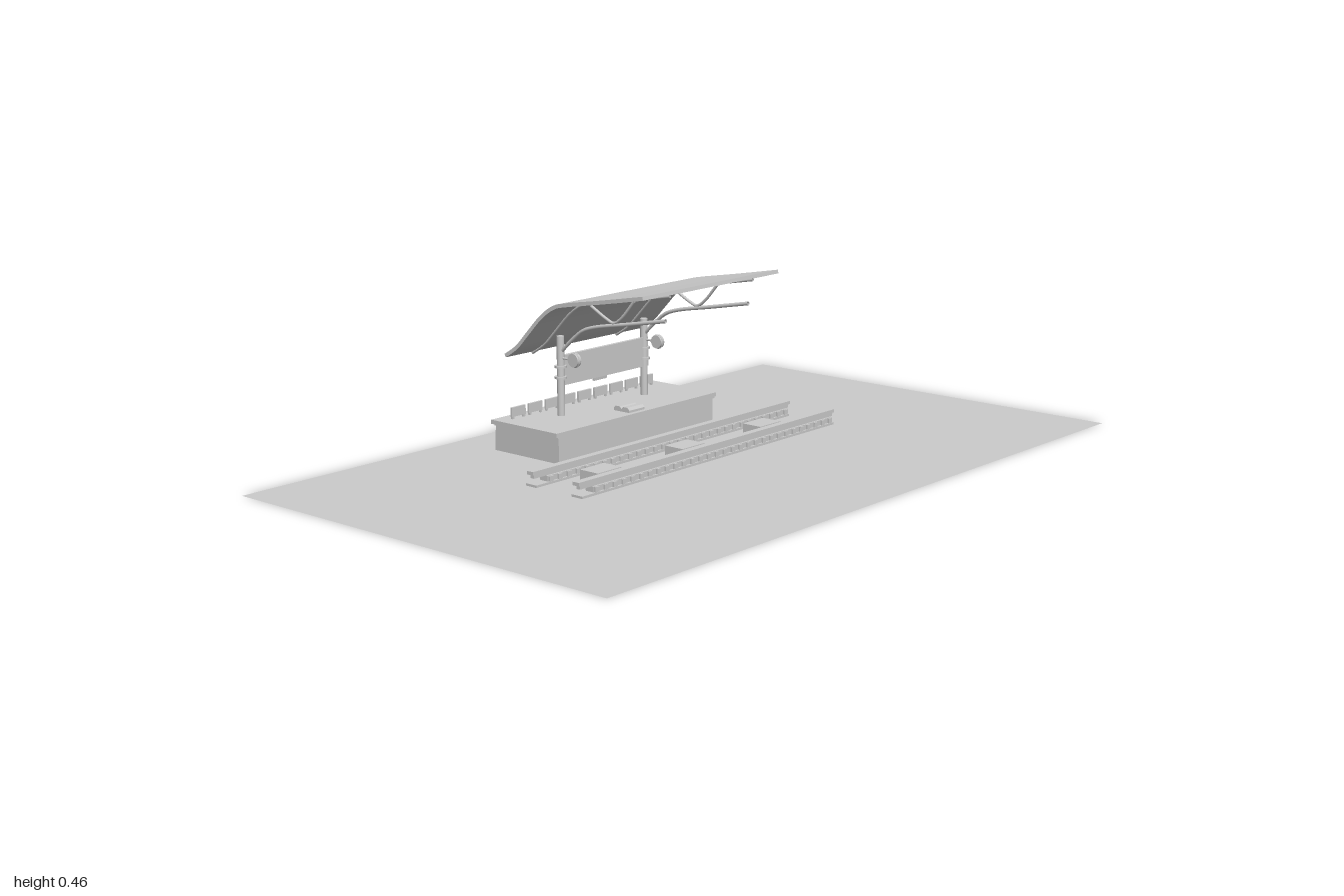
import * as THREE from 'three';
import { toCreasedNormals } from 'three/addons/utils/BufferGeometryUtils.js';

export function createModel() {
  const root = new THREE.Group();
  root.name = 'trainStop';
  const mat = new THREE.MeshStandardMaterial({ color: 0xcccccc, side: THREE.DoubleSide });

  const add = (name, geo, x = 0, y = 0, z = 0) => {
    const m = new THREE.Mesh(geo, mat);
    m.name = name;
    m.position.set(x, y, z);
    root.add(m);
    return m;
  };
  // Box given by its limits on each axis
  const box = (name, x0, x1, y0, y1, z0, z1) =>
    add(name, new THREE.BoxGeometry(x1 - x0, y1 - y0, z1 - z0), (x0 + x1) / 2, (y0 + y1) / 2, (z0 + z1) / 2);
  // Closed (z, y) outline swept along x
  const sweep = (name, outline, x0, x1, crease = 0.5) => {
    const shape = new THREE.Shape(outline.map(([z, y]) => new THREE.Vector2(z, y)));
    const geo = new THREE.ExtrudeGeometry(shape, { depth: x1 - x0, bevelEnabled: false });
    geo.rotateY(-Math.PI / 2);
    return add(name, toCreasedNormals(geo, crease), x1);
  };
  // Round bar through (z, y) points at a given x
  const bar = (name, x, pts, r) => {
    const curve = new THREE.CatmullRomCurve3(pts.map(([z, y]) => new THREE.Vector3(x, y, z)), false, 'centripetal');
    add(name, new THREE.TubeGeometry(curve, 24, r, 8), 0, 0, 0);
  };

  // Ground sheet
  add('ground', new THREE.PlaneGeometry(2, 1.2).rotateX(-Math.PI / 2));

  // Rails: footing, web, head and a row of clips
  for (const z of [0.041, -0.113]) {
    box('railFoot', -0.505, 0.49, 0.006, 0.012, z - 0.018, z + 0.018);
    box('railBase', -0.46, 0.49, 0.012, 0.026, z - 0.012, z + 0.012);
    box('railWeb', -0.5, 0.5, 0.026, 0.036, z - 0.006, z + 0.006);
    box('railHead', -0.508, 0.503, 0.036, 0.045, z - 0.01, z + 0.01);
    for (let i = 0; i < 30; i++) {
      const x = -0.45 + i * 0.032;
      box('railClip', x - 0.007, x + 0.007, 0.012, 0.025, z - 0.017, z + 0.017);
    }
  }
  // Blocks between the rails
  for (const x of [-0.345, -0.029, 0.287]) box('trackBlock', x - 0.043, x + 0.043, 0.008, 0.035, -0.06, 0);

  // Platform
  sweep('platformBody', [[-0.213, 0.005], [-0.213, 0.075], [-0.438, 0.075], [-0.443, 0.05], [-0.443, 0.005]], -0.305, 0.3, 0.1);
  box('platformLip', -0.31, 0.305, 0.072, 0.078, -0.441, -0.211);
  box('platformTop', -0.317, 0.308, 0.077, 0.088, -0.445, -0.208);

  // Double seat pad at the platform edge
  for (const z of [-0.236, -0.263]) {
    sweep('seatPad', [[z + 0.014, 0.088], [z + 0.014, 0.094], [z + 0.008, 0.101],
      [z - 0.008, 0.101], [z - 0.014, 0.094], [z - 0.014, 0.088]], -0.03, 0.03);
  }

  // Low fence of separate panels along the back
  for (let i = 0; i < 9; i++) {
    const x = -0.255 + i * 0.0625;
    box('fencePanel', x - 0.025, x + 0.025, 0.094, 0.119, -0.411, -0.405);
    for (const s of [-1, 1]) box('fenceLeg', x + s * 0.02 - 0.003, x + s * 0.02 + 0.003, 0.086, 0.1, -0.411, -0.405);
  }

  // Roof: curved sheet with an even thickness
  const roofLine = [[0.04, 0.456], [-0.1, 0.43], [-0.22, 0.409], [-0.265, 0.397], [-0.31, 0.367],
    [-0.36, 0.317], [-0.4, 0.277], [-0.442, 0.25]];
  const curve = new THREE.SplineCurve(roofLine.map(p => new THREE.Vector2(...p)));
  const upper = [], lower = [];
  for (let i = 0; i <= 40; i++) {
    const p = curve.getPoint(i / 40), t = curve.getTangent(i / 40);
    const nz = t.y * 0.005, ny = -t.x * 0.005;
    upper.push([p.x + nz, p.y + ny]);
    lower.unshift([p.x - nz, p.y - ny]);
  }
  sweep('roof', [...upper, ...lower], -0.265, 0.265);

  // Posts with collars, trusses and round side lamps
  for (const x of [-0.164, 0.16]) {
    add('post', new THREE.CylinderGeometry(0.01, 0.01, 0.214, 16), x, 0.193, -0.34);
    for (const y of [0.19, 0.219]) add('postCollar', new THREE.CylinderGeometry(0.016, 0.016, 0.006, 16), x, y, -0.34);
    bar('trussRib', x, roofLine.map(([z, y]) => [z, y - 0.008]), 0.004);
    bar('trussChord', x, [[0.025, 0.384], [-0.1, 0.36], [-0.22, 0.337], [-0.26, 0.323], [-0.3, 0.293], [-0.338, 0.258]], 0.005);
    bar('trussBrace', x, [[-0.08, 0.421], [-0.125, 0.372], [-0.15, 0.357], [-0.175, 0.365], [-0.228, 0.392]], 0.004);
    bar('lampArm', x, [[-0.34, 0.242], [-0.29, 0.242]], 0.003);
    const disc = new THREE.CylinderGeometry(0.018, 0.018, 0.014, 24).rotateZ(Math.PI / 2);
    add('lamp', disc, x, 0.242, -0.29);
    add('lampRim', new THREE.TorusGeometry(0.018, 0.002, 8, 24).rotateY(Math.PI / 2), x, 0.242, -0.29);
  }

  // Board hung between the posts, with a small bracket behind
  box('board', -0.154, 0.172, 0.168, 0.248, -0.345, -0.335);
  const bracket = box('boardBracket', -0.025, 0.025, 0.155, 0.2, -0.356, -0.351);
  bracket.rotation.x = 0.1;

  return root;
}
